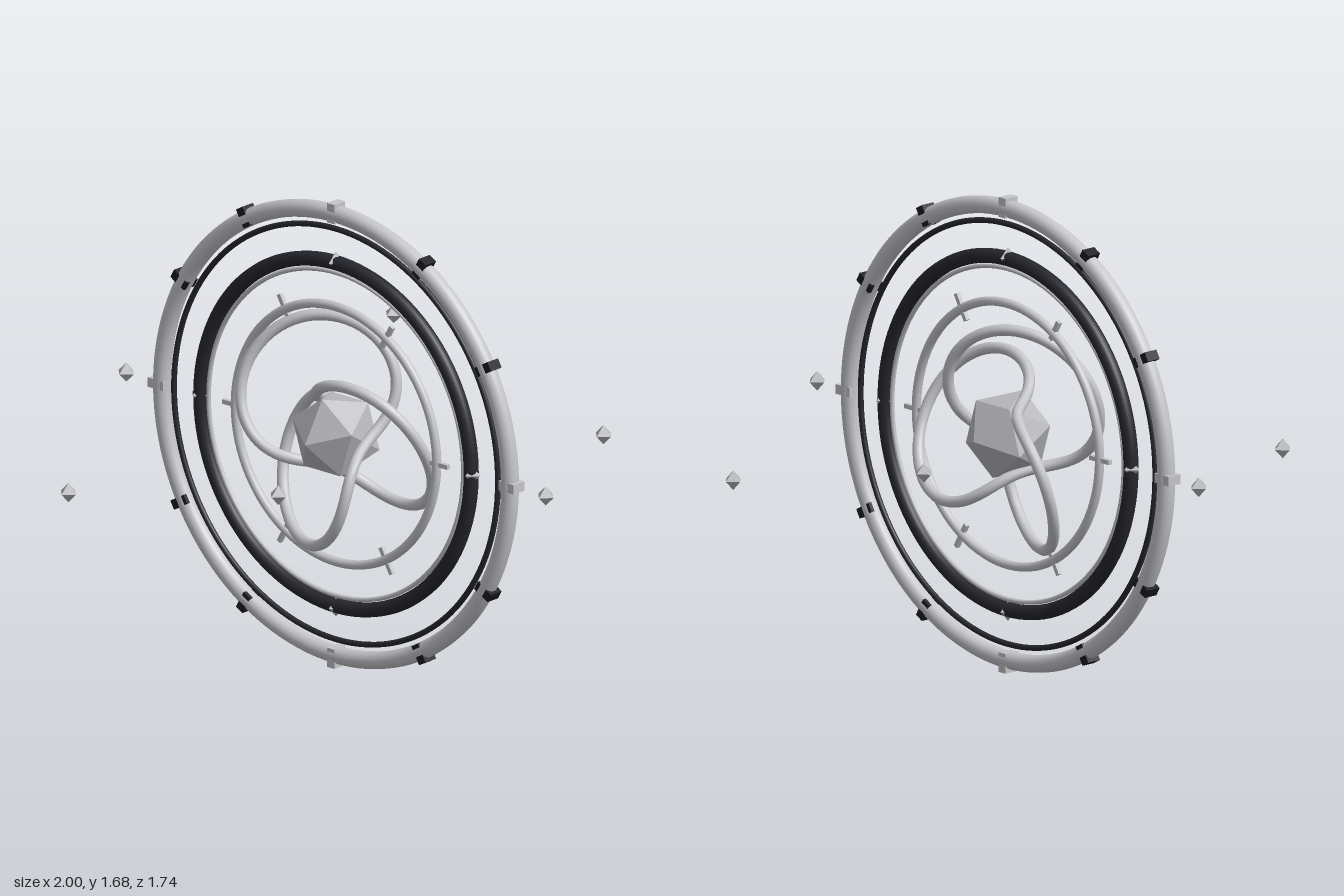
import * as THREE from 'three';

const mat = (name, color, flatShading = false) => {
  const m = new THREE.MeshStandardMaterial({ color, flatShading });
  m.name = name;
  return m;
};

export function createModel() {
  const silver = mat('silver', 0xc6c5c9);
  const gray = mat('gray', 0xb8b8bc, true);
  const dark = mat('dark', 0x26262e);
  const black = mat('black', 0x1b1b20);

  const model = new THREE.Group();
  model.name = 'ringedCore';
  const body = new THREE.Group();
  body.name = 'body';
  body.position.y = 0.843;
  model.add(body);

  const add = (name, geometry, material, x = 0, y = 0, z = 0) => {
    const mesh = new THREE.Mesh(geometry, material);
    mesh.name = name;
    mesh.position.set(x, y, z);
    body.add(mesh);
    return mesh;
  };

  // Places count copies around the z axis, each turned to point outward
  const around = (count, radius, place) => {
    for (let i = 0; i < count; i++) {
      const a = (i / count) * Math.PI * 2;
      place(i, Math.cos(a) * radius, Math.sin(a) * radius).rotation.z = a;
    }
  };

  // Concentric upright rings: name, radius, tube radius, material
  const rings = [
    ['outerRing', 0.8, 0.031, silver],
    ['thinDarkRing', 0.745, 0.01, dark],
    ['thickDarkRing', 0.622, 0.026, dark],
    ['thinLightRing', 0.586, 0.008, silver],
    ['innerRing', 0.463, 0.016, silver],
  ];
  for (const [name, radius, tube, material] of rings) {
    add(name, new THREE.TorusGeometry(radius, tube, 16, 128), material);
  }

  // Clamps on the outer ring, light at the quarters and dark between
  const clamp = new THREE.BoxGeometry(0.07, 0.034, 0.055);
  around(12, 0.807, (i, x, y) => i % 3 === 0
    ? add('lightClamp', clamp, silver, x, y)
    : add('darkClamp', clamp, black, x, y));

  // Studs on the thick dark ring
  const gem = new THREE.OctahedronGeometry(0.035);
  around(4, 0.627, (i, x, y) => add('ringStud', gem, gray, x, y));

  // Radial ticks crossing the inner ring
  const tick = new THREE.BoxGeometry(0.1, 0.016, 0.016);
  around(6, 0.468, (i, x, y) => add('tick', tick, silver, x, y));

  // Three-lobed knot and faceted core
  add('knot', new THREE.TorusKnotGeometry(0.28, 0.02, 200, 12, 2, 3), silver);
  const core = add('core', new THREE.IcosahedronGeometry(0.16), gray);
  core.rotation.x = -0.553;

  // Six floating gems on a wavy horizontal orbit
  for (let i = 0; i < 6; i++) {
    const a = (i * Math.PI) / 3;
    add('orbitGem', gem, gray, Math.cos(a) * 0.965, Math.sin(2 * a) * 0.124, Math.sin(a) * 0.965);
  }
  return model;
}
